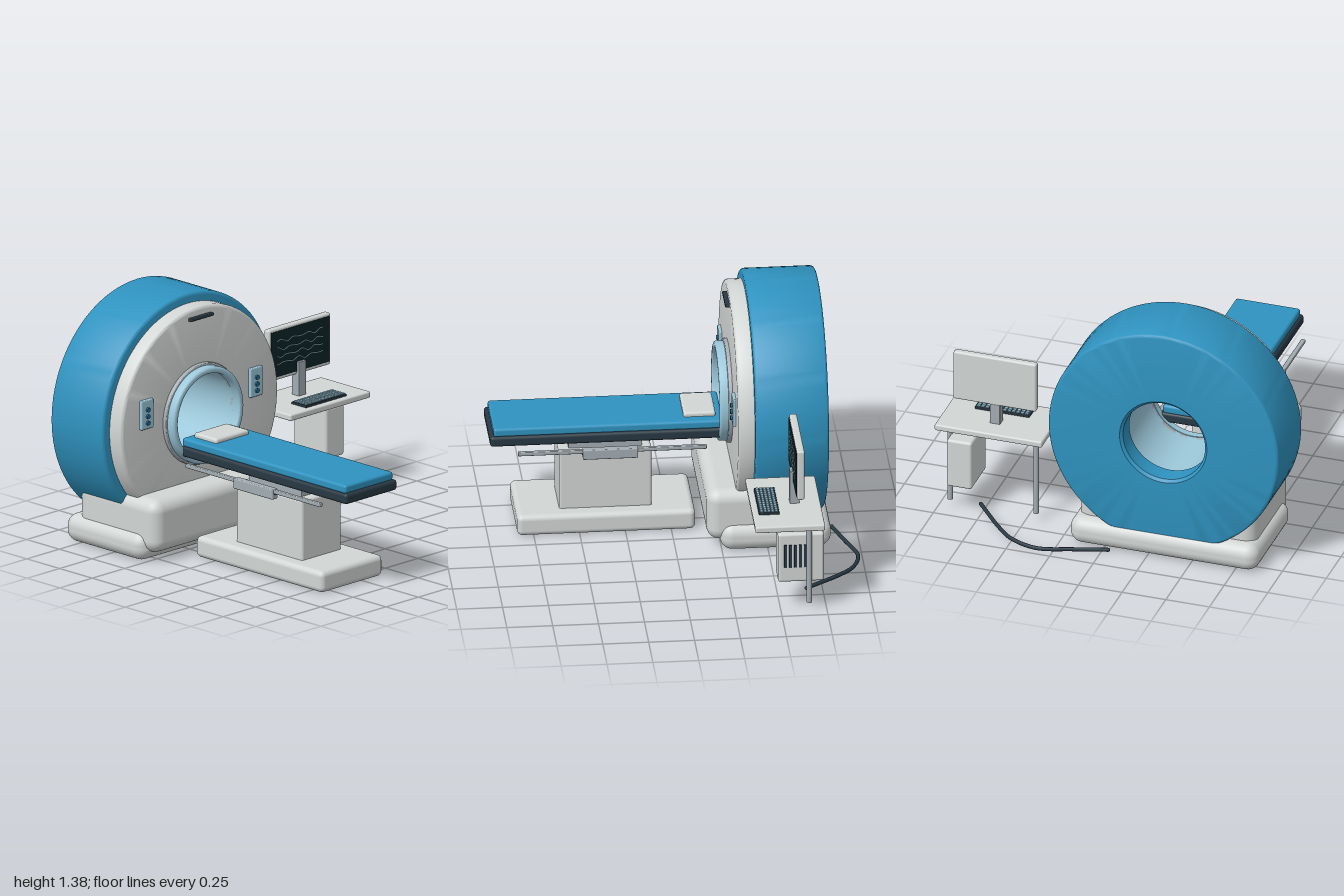
import * as THREE from 'three';
import { toCreasedNormals } from 'three/addons/utils/BufferGeometryUtils.js';
import { RoundedBoxGeometry } from 'three/addons/geometries/RoundedBoxGeometry.js';

const mat = (name, color) => {
  const m = new THREE.MeshStandardMaterial({ color });
  m.name = name;
  return m;
};

export function createModel() {
  const white = mat('shell grey', 0xd2d6d5);
  const blue = mat('cover blue', 0x2f93c0);
  const pale = mat('pale blue', 0x9cc8da);
  const dark = mat('dark slate', 0x283843);
  const metal = mat('metal grey', 0xa3adb3);
  const screenMat = mat('screen black', 0x0e2427);
  const button = mat('button blue', 0x1f6a90);

  const model = new THREE.Group();
  const CX = -0.34, CY = 0.73; // scanner axis

  const add = (name, geo, material, parent = model) => {
    const m = new THREE.Mesh(geo, material);
    m.name = name;
    parent.add(m);
    return m;
  };
  const group = (name) => {
    const g = new THREE.Group();
    g.name = name;
    model.add(g);
    return g;
  };
  // Box given by its limits on each axis; r rounds the edges
  const box = (name, material, [x0, x1], [y0, y1], [z0, z1], r = 0, parent = model) => {
    const s = [x1 - x0, y1 - y0, z1 - z0];
    const geo = r ? new RoundedBoxGeometry(...s, 4, r) : new THREE.BoxGeometry(...s);
    const m = add(name, geo, material, parent);
    m.position.set((x0 + x1) / 2, (y0 + y1) / 2, (z0 + z1) / 2);
    return m;
  };
  // Closed ring around the scanner axis from a loop of [radius, z] points
  const ring = (name, material, pts, parent) => {
    const loop = [...pts, pts[0]].map(([r, z]) => new THREE.Vector2(r, z));
    const geo = toCreasedNormals(new THREE.LatheGeometry(loop, 96).rotateX(Math.PI / 2), 0.6);
    const m = add(name, geo, material, parent);
    m.position.set(CX, CY, 0);
    return m;
  };
  // Quarter-round edge centred on [r, z], sweeping from angle a by 90 degrees
  const round = (r, z, rad, a) => [0, 1, 2, 3, 4].map((i) => {
    const t = a + (i * Math.PI) / 8;
    return [r + rad * Math.cos(t), z + rad * Math.sin(t)];
  });

  // Scanner drum, front plate and bore
  const gantry = group('gantry');
  ring('drumCover', blue, [
    [0.235, -0.805], [0.25, -0.82],
    ...round(0.64, -0.8, 0.02, -Math.PI / 2),
    ...round(0.64, -0.44, 0.02, 0),
    [0.262, -0.42], [0.262, -0.7], [0.235, -0.7],
  ], gantry);
  ring('frontPlate', white, [
    [0.262, -0.43], [0.605, -0.43],
    ...round(0.585, -0.35, 0.02, 0),
    [0.262, -0.33],
  ], gantry);
  ring('boreLining', pale, [[0.24, -0.7], [0.26, -0.7], [0.26, -0.3], [0.24, -0.3]], gantry);
  ring('boreFlange', metal, [
    [0.24, -0.335], [0.285, -0.335], ...round(0.277, -0.316, 0.008, 0), [0.24, -0.308],
  ], gantry);
  ring('boreRim', pale, [
    [0.236, -0.31], [0.272, -0.31],
    ...round(0.257, -0.275, 0.015, 0),
    ...round(0.246, -0.27, 0.01, Math.PI / 2),
  ], gantry);
  box('statusSlot', dark, [-0.43, -0.255], [1.27, 1.287], [-0.335, -0.305], 0.005, gantry);

  // Control panels with three buttons each
  for (const side of [-1, 1]) {
    const x = CX + side * 0.42;
    box('controlPanel', pale, [x - 0.046, x + 0.046], [0.735, 0.9], [-0.34, -0.312], 0.006, gantry);
    for (const y of [0.845, 0.807, 0.77]) {
      const b = add('panelButton', new THREE.CylinderGeometry(0.013, 0.013, 0.02, 20).rotateX(Math.PI / 2), button, gantry);
      b.position.set(x, y, -0.312);
    }
  }

  // Plinth under the drum
  box('gantryPlinth', white, [-0.845, 0.165], [0.06, 0.36], [-0.77, -0.17], 0.07);
  box('gantryBase', white, [-0.88, 0.2], [0.01, 0.17], [-0.845, -0.24], 0.07);

  // Patient table
  const table = group('patientTable');
  box('tableFoot', white, [-0.58, -0.105], [0.01, 0.13], [-0.13, 0.84], 0.03, table);
  box('tableColumn', white, [-0.495, -0.19], [0.1, 0.47], [0.1, 0.605], 0.015, table);
  box('tableNeck', metal, [-0.445, -0.235], [0.46, 0.545], [0.15, 0.55], 0, table);
  box('tableBoard', dark, [-0.538, -0.142], [0.537, 0.597], [-0.29, 0.985], 0.018, table);
  box('mattress', blue, [-0.525, -0.155], [0.59, 0.64], [-0.285, 0.965], 0.015, table);
  box('headrest', white, [-0.47, -0.215], [0.62, 0.665], [-0.25, -0.075], 0.015, table);
  for (const side of [-1, 1]) {
    const x = CX + side * 0.243;
    box('sideRail', metal, [x - 0.012, x + 0.012], [0.505, 0.527], [-0.19, 0.838], 0.005, table);
    box('railClamp', metal, [x - 0.021, x + 0.021], [0.472, 0.53], [0.185, 0.485], 0.006, table);
    const knob = add('clampKnob', new THREE.CylinderGeometry(0.009, 0.009, 0.008, 16).rotateX(Math.PI / 2), dark, table);
    knob.position.set(x, 0.505, 0.486);
  }

  // Operator desk
  const desk = group('desk');
  box('deskTop', white, [0.385, 1], [0.515, 0.552], [-0.735, -0.355], 0.01, desk);
  for (const x of [0.443, 0.935]) {
    const leg = add('deskLeg', new THREE.CylinderGeometry(0.015, 0.015, 0.46, 20), metal, desk);
    leg.position.set(x, 0.29, -0.655);
  }

  // Computer case with side vents
  box('computerCase', white, [0.787, 0.93], [0.18, 0.47], [-0.735, -0.485], 0.015, desk);
  for (let i = 0; i < 5; i++) {
    const z = -0.525 - i * 0.027;
    box('caseVent', dark, [0.928, 0.936], [0.27, 0.405], [z - 0.007, z + 0.007], 0, desk);
  }

  // Monitor with four traces
  const monitor = group('monitor');
  box('monitorCase', white, [0.453, 0.928], [0.67, 0.965], [-0.63, -0.588], 0.012, monitor);
  box('screen', screenMat, [0.468, 0.915], [0.69, 0.948], [-0.59, -0.584], 0, monitor);
  box('monitorStand', metal, [0.662, 0.72], [0.55, 0.745], [-0.622, -0.568], 0.004, monitor);
  [0.89, 0.845, 0.805, 0.765].forEach((y, row) => {
    const pts = [];
    for (let i = 0; i <= 40; i++) {
      const t = i / 40;
      const wave = Math.sin(t * 21 + row * 1.4) * 0.011 * (0.6 + 0.4 * Math.sin(t * 9 + row));
      pts.push(new THREE.Vector3(0.51 + 0.35 * t, y + wave, -0.583));
    }
    add('screenTrace', new THREE.TubeGeometry(new THREE.CatmullRomCurve3(pts), 60, 0.0026, 5), pale, monitor);
  });

  // Keyboard with rows of keys
  const keyboard = group('keyboard');
  box('keyboardBody', dark, [0.535, 0.848], [0.55, 0.565], [-0.5, -0.388], 0.004, keyboard);
  for (let r = 0; r < 5; r++) {
    for (let c = 0; c < 12; c++) {
      const x = 0.555 + c * 0.025, z = -0.484 + r * 0.02;
      box('key', pale, [x - 0.0095, x + 0.0095], [0.562, 0.57], [z - 0.0075, z + 0.0075], 0, keyboard);
    }
  }

  // Power cable from the base to the desk
  const path = [
    [-0.04, 0.03, -0.865], [0.14, 0.03, -0.92], [0.335, 0.032, -0.975], [0.49, 0.037, -0.93],
    [0.59, 0.043, -0.845], [0.69, 0.052, -0.735], [0.76, 0.058, -0.655],
  ].map((p) => new THREE.Vector3(...p));
  const cable = new THREE.CatmullRomCurve3(path);
  add('cable', new THREE.TubeGeometry(cable, 64, 0.011, 10), dark);
  for (const end of [path[0], path[path.length - 1]]) {
    add('cableEnd', new THREE.SphereGeometry(0.011, 10, 8), dark).position.copy(end);
  }

  return model;
}
